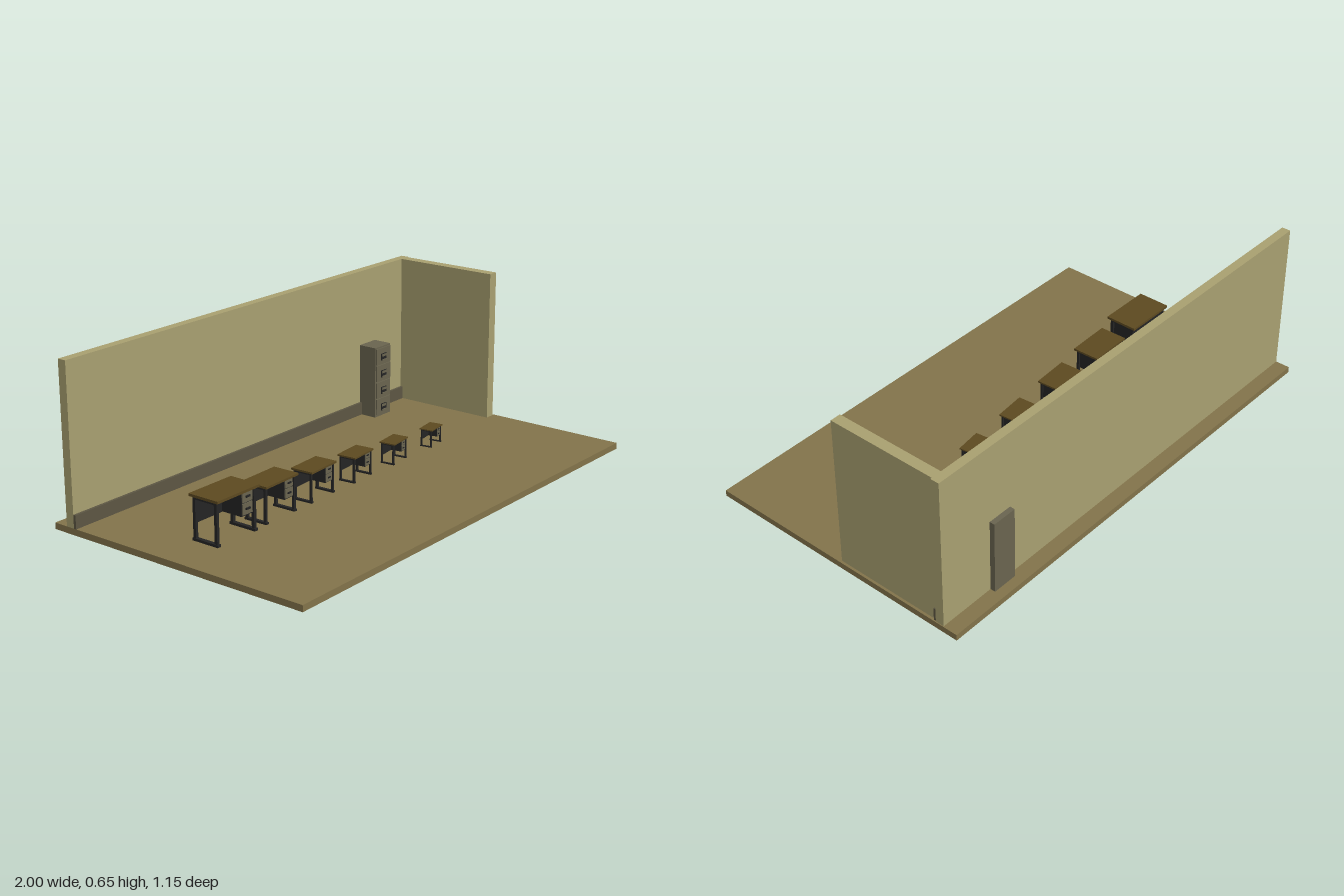
import * as THREE from 'three';

const mat = (name, color) => {
  const m = new THREE.MeshStandardMaterial({ color });
  m.name = name;
  return m;
};

const wallPaint = mat('wall paint', 0xa89f70);
const floorBoard = mat('floor brown', 0x82734a);
const trim = mat('baseboard grey', 0x5c5643);
const steel = mat('cabinet steel', 0x69644f);
const wood = mat('desk wood', 0x5c4920);
const black = mat('black metal', 0x242424);

// Box given by its limits on each axis
function box(parent, name, material, [x0, x1], [y0, y1], [z0, z1]) {
  const mesh = new THREE.Mesh(new THREE.BoxGeometry(x1 - x0, y1 - y0, z1 - z0), material);
  mesh.position.set((x0 + x1) / 2, (y0 + y1) / 2, (z0 + z1) / 2);
  mesh.name = name;
  parent.add(mesh);
  return mesh;
}

// Full-size desk standing on y = 0, centred on x and z
function makeDesk() {
  const desk = new THREE.Group();
  desk.name = 'desk';
  box(desk, 'deskTop', wood, [-0.11, 0.11], [0.165, 0.175], [-0.0675, 0.0675]);
  // End frames: two posts, a foot and a top rail
  for (const side of [-1, 1]) {
    const x = side * 0.097;
    const span = [x - 0.006, x + 0.006];
    for (const z of [-0.05, 0.05]) {
      box(desk, 'leg', black, span, [0.008, 0.165], [z - 0.006, z + 0.006]);
    }
    box(desk, 'foot', black, [x - 0.008, x + 0.008], [0, 0.01], [-0.06, 0.06]);
    box(desk, 'topRail', black, span, [0.155, 0.165], [-0.056, 0.056]);
  }
  box(desk, 'backPanel', black, [-0.097, 0.097], [0.066, 0.165], [-0.053, -0.046]);
  // Drawer unit under the model's left end
  box(desk, 'drawerCase', black, [0.036, 0.094], [0.068, 0.165], [-0.046, 0.046]);
  for (const y of [0.073, 0.119]) {
    box(desk, 'drawerFront', steel, [0.039, 0.091], [y, y + 0.042], [0.046, 0.05]);
    box(desk, 'drawerPull', black, [0.054, 0.076], [y + 0.018, y + 0.025], [0.05, 0.055]);
  }
  return desk;
}

// Four-drawer filing cabinet
function makeCabinet() {
  const cabinet = new THREE.Group();
  cabinet.name = 'filingCabinet';
  const cx = 0.707;
  box(cabinet, 'cabinetBody', steel, [0.655, 0.759], [0.025, 0.33], [-0.535, -0.396]);
  for (let i = 0; i < 4; i++) {
    const y = 0.035 + i * 0.0735;
    const drawer = new THREE.Group();
    drawer.name = 'cabinetDrawer';
    cabinet.add(drawer);
    box(drawer, 'drawerFace', steel, [0.66, 0.754], [y, y + 0.068], [-0.396, -0.391]);
    box(drawer, 'handlePlate', black, [cx - 0.018, cx + 0.018], [y + 0.014, y + 0.044], [-0.391, -0.389]);
    box(drawer, 'labelHolder', steel, [cx - 0.014, cx + 0.014], [y + 0.031, y + 0.041], [-0.389, -0.387]);
    box(drawer, 'handle', steel, [cx - 0.014, cx + 0.014], [y + 0.014, y + 0.019], [-0.389, -0.384]);
  }
  return cabinet;
}

export function createModel() {
  const model = new THREE.Group();
  model.name = 'officeRoom';

  // Room shell
  box(model, 'floor', floorBoard, [-1, 1], [0, 0.025], [-0.575, 0.575]);
  box(model, 'backWall', wallPaint, [-1, 0.997], [0.025, 0.648], [-0.514, -0.478]);
  box(model, 'sideWall', wallPaint, [0.947, 0.99], [0.025, 0.648], [-0.478, -0.023]);
  box(model, 'baseboard', trim, [-1, 0.995], [0.025, 0.078], [-0.478, -0.467]);

  model.add(makeCabinet());

  // Row of desks, each smaller and turned a little further
  const row = [
    [-0.714, 1], [-0.468, 0.84], [-0.22, 0.71],
    [0.031, 0.6], [0.276, 0.5], [0.527, 0.425],
  ];
  row.forEach(([x, scale], i) => {
    const desk = makeDesk();
    desk.position.set(x, 0.025, -0.0145);
    desk.rotation.y = THREE.MathUtils.degToRad(i * 1.8);
    desk.scale.setScalar(scale);
    model.add(desk);
  });
  return model;
}
